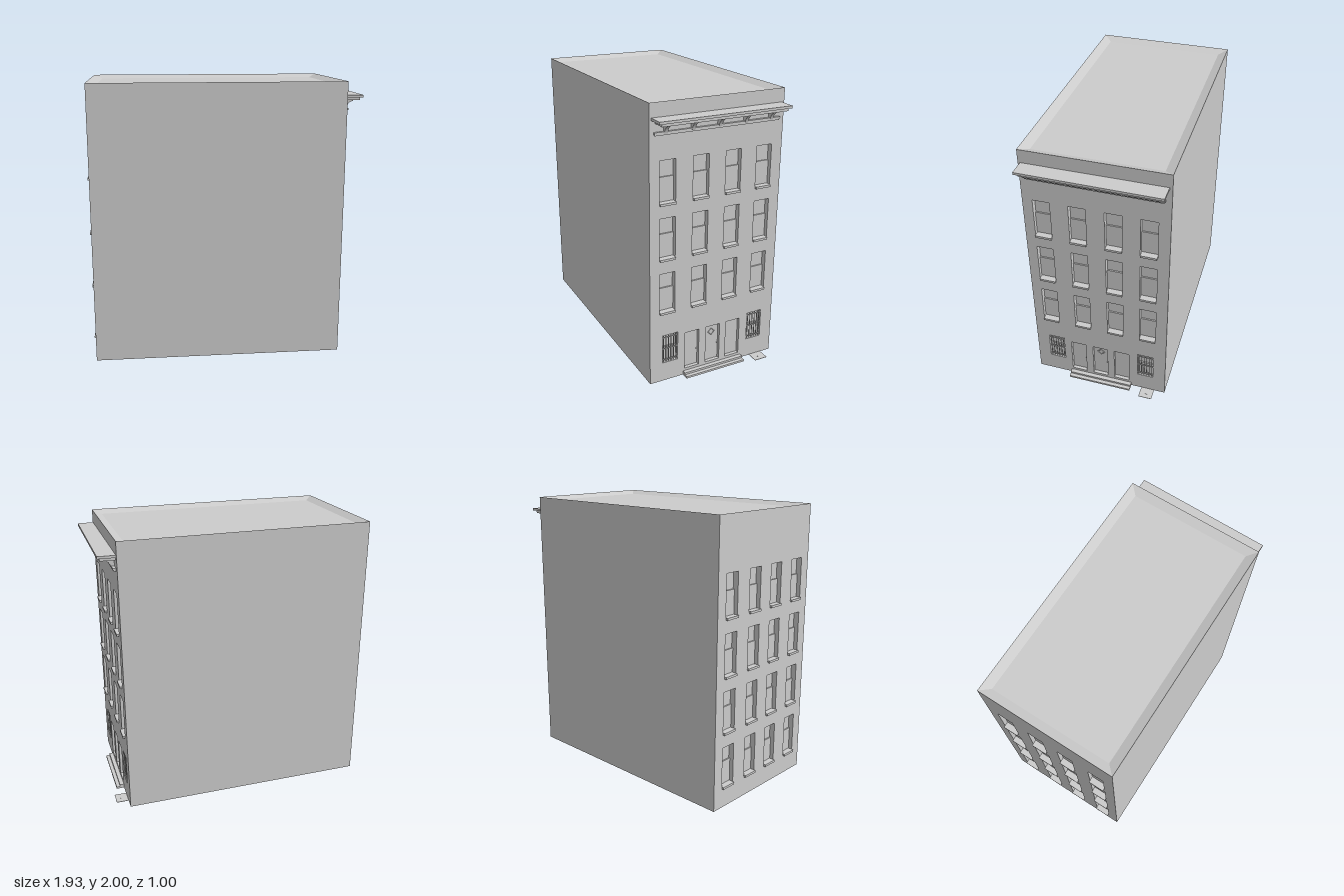
import * as THREE from 'three';

const mat = new THREE.MeshStandardMaterial({ color: 0xcccccc, side: THREE.DoubleSide, flatShading: true });
const X0 = -0.955, X1 = 0.84, Z = 0.5, H = 2;

function add(parent, name, geometry, x = 0, y = 0, z = 0) {
  const mesh = new THREE.Mesh(geometry, mat);
  mesh.name = name;
  mesh.position.set(x, y, z);
  parent.add(mesh);
  return mesh;
}

// box given by its limits
function block(parent, name, x0, x1, y0, y1, z0, z1) {
  return add(parent, name, new THREE.BoxGeometry(x1 - x0, y1 - y0, z1 - z0),
    (x0 + x1) / 2, (y0 + y1) / 2, (z0 + z1) / 2);
}

// box open towards the street: the reveals and the back panel of an opening
function recess(parent, name, o, depth) {
  const mesh = block(parent, name, o.x - o.w / 2, o.x + o.w / 2, o.y0, o.y1, -depth, 0);
  const index = Array.from(mesh.geometry.index.array);
  index.splice(24, 6);
  mesh.geometry.setIndex(index);
}

// flat wall pierced by openings
function wall(parent, name, openings) {
  const shape = new THREE.Shape([[-Z, 0], [Z, 0], [Z, H], [-Z, H]].map(p => new THREE.Vector2(...p)));
  for (const o of openings) {
    const a = o.x - o.w / 2, b = o.x + o.w / 2;
    shape.holes.push(new THREE.Path([[a, o.y0], [a, o.y1], [b, o.y1], [b, o.y0]].map(p => new THREE.Vector2(...p))));
  }
  add(parent, name, new THREE.ShapeGeometry(shape));
}

function sashWindow(parent, o) {
  const g = new THREE.Group();
  g.name = 'sashWindow';
  parent.add(g);
  recess(g, 'windowRecess', o, 0.04);
  const a = o.x - o.w / 2, b = o.x + o.w / 2;
  block(g, 'lowerSash', a, b, o.y0, o.y0 + 0.175, -0.04, -0.03);
  block(g, 'sill', a + 0.002, b - 0.002, o.y0 - 0.008, o.y0 + 0.008, -0.03, 0.015);
}

function barredWindow(parent, o) {
  const g = new THREE.Group();
  g.name = 'barredWindow';
  parent.add(g);
  recess(g, 'windowRecess', o, 0.04);
  const a = o.x - o.w / 2, b = o.x + o.w / 2, mid = (o.y0 + o.y1) / 2;
  block(g, 'lowerSash', a, b, o.y0, mid, -0.04, -0.03);
  for (let i = 0; i < 6; i++) {
    const x = a + 0.011 + i * (o.w - 0.022) / 5;
    block(g, 'bar', x - 0.002, x + 0.002, o.y0, o.y1, -0.008, -0.004);
  }
  for (const y of [o.y0 + 0.02, mid, o.y1 - 0.02])
    block(g, 'crossBar', a, b, y - 0.003, y + 0.003, -0.01, -0.003);
}

function cornice(parent) {
  const g = new THREE.Group();
  g.name = 'cornice';
  g.rotation.y = -0.008;
  parent.add(g);
  block(g, 'topSlab', -0.485, 0.48, 1.888, 1.905, -0.005, 0.118);
  block(g, 'lowerSlab', -0.46, 0.46, 1.867, 1.888, -0.005, 0.1);
  block(g, 'rail', -0.465, 0.455, 1.79, 1.8, -0.005, 0.012);
  block(g, 'railCap', -0.47, 0.46, 1.8, 1.813, -0.005, 0.018);
  // curved brackets
  const s = new THREE.Shape();
  s.moveTo(-0.005, 1.8);
  s.lineTo(0.018, 1.8);
  s.quadraticCurveTo(0.03, 1.85, 0.07, 1.858);
  s.lineTo(0.07, 1.868);
  s.lineTo(-0.005, 1.868);
  const geo = new THREE.ExtrudeGeometry(s, { depth: 0.024, bevelEnabled: false, curveSegments: 6 });
  geo.translate(0, 0, -0.012).rotateY(-Math.PI / 2);
  for (let i = -2; i <= 2; i++) add(g, 'bracket', geo, i * 0.195);
}

function streetSide(root) {
  const g = new THREE.Group();
  g.name = 'streetFacade';
  g.position.x = X1;
  g.rotation.y = Math.PI / 2;
  root.add(g);
  const windows = [];
  for (const y0 of [0.54, 0.937, 1.33])
    for (const x of [-0.37, -0.125, 0.12, 0.36]) windows.push({ x, w: 0.118, y0, y1: y0 + 0.295 });
  const barred = [-0.345, 0.347].map(x => ({ x, w: 0.12, y0: 0.145, y1: 0.362 }));
  const doors = [-0.172, -0.002, 0.164].map(x => ({ x, w: 0.114, y0: 0.05, y1: 0.338 }));
  wall(g, 'streetWall', [...windows, ...barred, ...doors]);
  windows.forEach(o => sashWindow(g, o));
  barred.forEach(o => barredWindow(g, o));
  doors.forEach(o => recess(g, 'door', o, 0.025));
  // diamond light and knobs
  const diamond = add(g, 'diamondLight', new THREE.TorusGeometry(0.026, 0.003, 4, 4), -0.002, 0.277, -0.023);
  diamond.scale.z = 0.8;
  for (const x of [-0.123, 0.046]) add(g, 'doorKnob', new THREE.SphereGeometry(0.005, 8, 6), x, 0.175, -0.02);
  // steps and pavement hatch
  block(g, 'upperStep', -0.24, 0.24, 0, 0.03, 0, 0.03);
  block(g, 'lowerStep', -0.24, 0.24, 0, 0.015, 0.03, 0.057);
  block(g, 'hatch', 0.32, 0.42, 0, 0.003, 0, 0.088);
  block(g, 'hatchHandle', 0.362, 0.378, 0.003, 0.006, 0.05, 0.055);
  cornice(g);
}

function yardSide(root) {
  const g = new THREE.Group();
  g.name = 'yardFacade';
  g.position.x = X0;
  g.rotation.y = -Math.PI / 2;
  root.add(g);
  const windows = [];
  for (const y0 of [0.147, 0.543, 0.937, 1.333])
    for (const x of [-0.36, -0.117, 0.117, 0.36]) windows.push({ x, w: 0.118, y0, y1: y0 + 0.295 });
  wall(g, 'yardWall', windows);
  windows.forEach(o => sashWindow(g, o));
}

// sunken roof with sloping edges
function roof(root) {
  const inset = 0.063, low = H - 0.025, pos = [];
  for (const [d, y] of [[0, H], [inset, low]])
    pos.push(X0 + d, y, -Z + d, X0 + d, y, Z - d, X1 - d, y, Z - d, X1 - d, y, -Z + d);
  const index = [4, 5, 6, 4, 6, 7];
  for (let i = 0; i < 4; i++) {
    const j = (i + 1) % 4;
    index.push(i, j, j + 4, i, j + 4, i + 4);
  }
  const geo = new THREE.BufferGeometry();
  geo.setAttribute('position', new THREE.Float32BufferAttribute(pos, 3));
  geo.setIndex(index);
  const flat = geo.toNonIndexed();
  flat.computeVertexNormals();
  add(root, 'roof', flat);
}

export function createModel() {
  const root = new THREE.Group();
  root.name = 'townhouse';
  streetSide(root);
  yardSide(root);
  roof(root);
  // plain party walls; the underside stays open
  for (const s of [1, -1]) {
    const side = add(root, 'partyWall', new THREE.PlaneGeometry(X1 - X0, H), (X0 + X1) / 2, H / 2, s * Z);
    if (s < 0) side.rotation.y = Math.PI;
  }
  return root;
}
